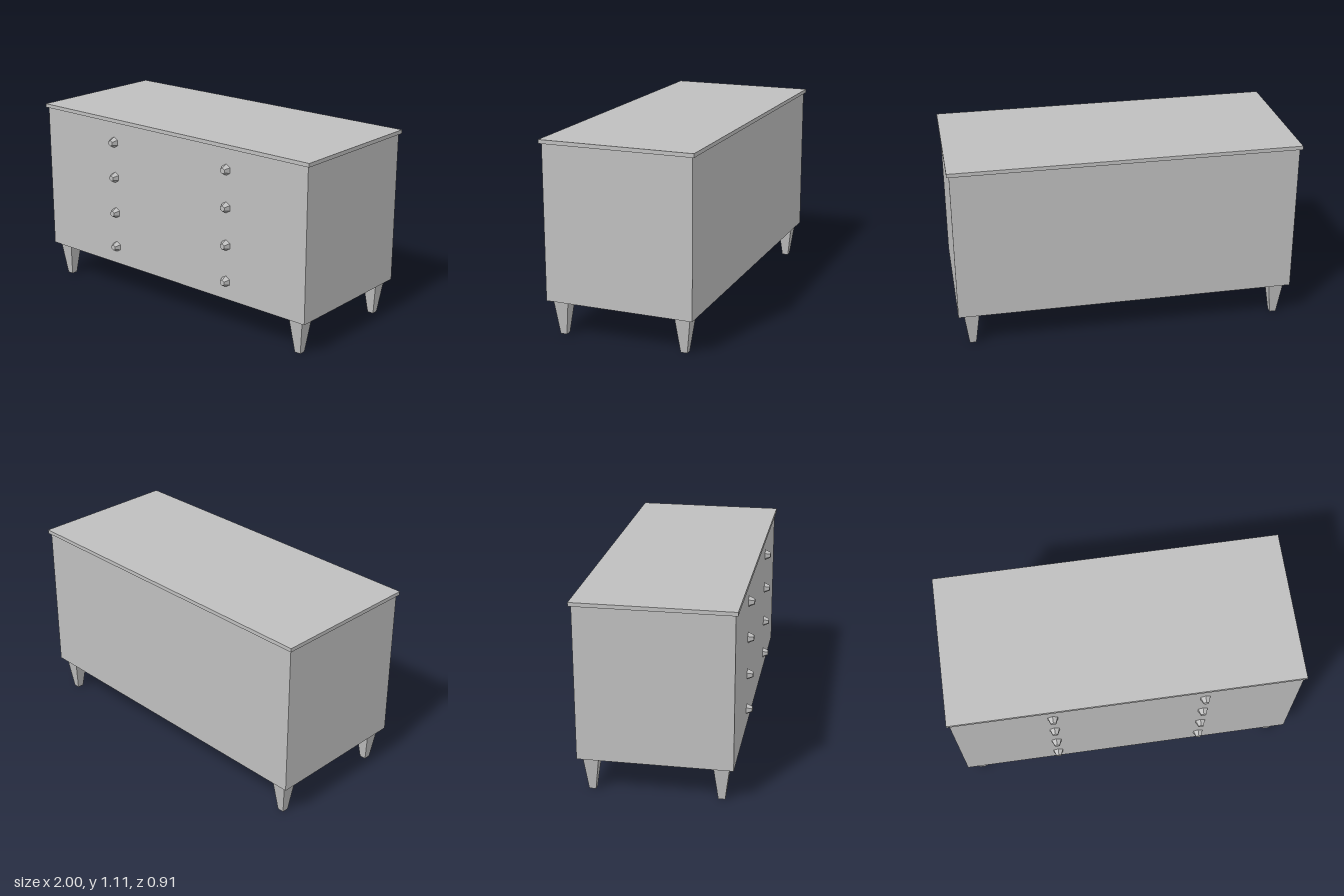
import * as THREE from 'three';

export function createModel() {
  const group = new THREE.Group();
  group.name = 'dresser';
  const grey = new THREE.MeshStandardMaterial({ color: 0xbfbfbf, flatShading: true });
  grey.name = 'plain grey';

  const add = (name, geometry, x, y, z) => {
    const mesh = new THREE.Mesh(geometry, grey);
    mesh.name = name;
    mesh.position.set(x, y, z);
    group.add(mesh);
  };
  // Box given by its lower and upper corners
  const addBox = (name, [x0, y0, z0], [x1, y1, z1]) =>
    add(name, new THREE.BoxGeometry(x1 - x0, y1 - y0, z1 - z0),
      (x0 + x1) / 2, (y0 + y1) / 2, (z0 + z1) / 2);

  // Cabinet and overhanging top board
  addBox('cabinet', [-0.987, 0.206, -0.44], [0.987, 1.091, 0.42]);
  addBox('topBoard', [-1, 1.091, -0.453], [1, 1.113, 0.432]);

  // Square legs, tapering to the floor
  const leg = new THREE.CylinderGeometry(0.045 * Math.SQRT2, 0.019 * Math.SQRT2, 0.206, 4);
  leg.rotateY(Math.PI / 4);
  for (const x of [-0.91, 0.91]) {
    for (const z of [0.35, -0.37]) add(z > 0 ? 'frontLeg' : 'backLeg', leg, x, 0.103, z);
  }

  // Hexagonal knobs, narrowing towards the front, two per drawer
  const knob = new THREE.CylinderGeometry(0.017, 0.033, 0.034, 6);
  knob.rotateX(Math.PI / 2);
  for (const y of [0.314, 0.53, 0.752, 0.968]) {
    for (const x of [-0.422, 0.439]) add('drawerKnob', knob, x, y, 0.436);
  }

  return group;
}
